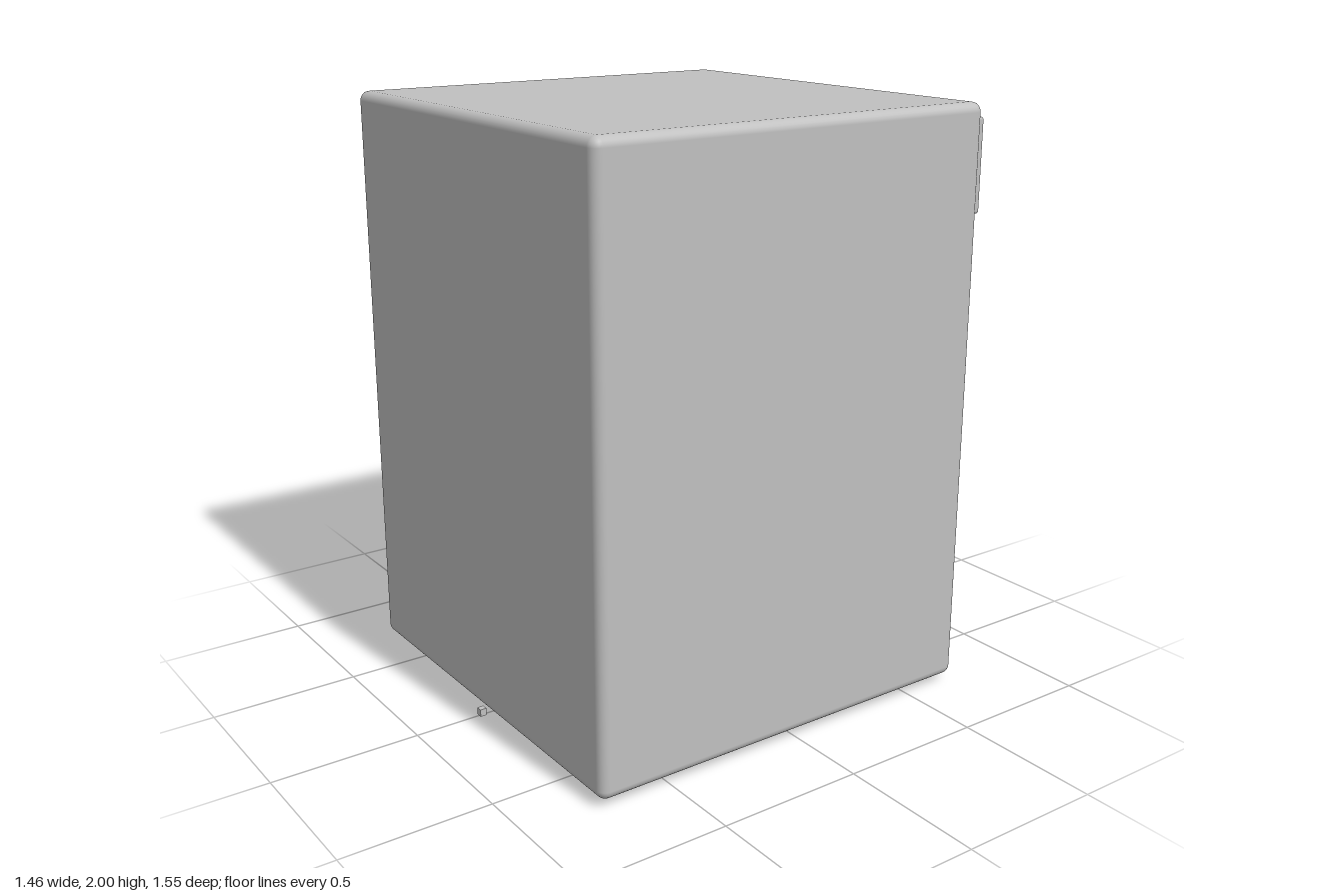
import * as THREE from 'three';
import { RoundedBoxGeometry } from 'three/addons/geometries/RoundedBoxGeometry.js';
import { toCreasedNormals } from 'three/addons/utils/BufferGeometryUtils.js';

export function createModel() {
  const group = new THREE.Group();
  const grey = new THREE.MeshStandardMaterial({ color: 0xc0c0c0 });
  grey.name = 'grey';

  const add = (name, geometry, x, y, z) => {
    const mesh = new THREE.Mesh(geometry, grey);
    mesh.name = name;
    mesh.position.set(x, y, z);
    group.add(mesh);
  };

  // Round part turned about the z axis; profile is [radius, height toward -z]
  const turned = (profile, segments = 64) => {
    const points = profile.map(([r, h]) => new THREE.Vector2(r, h));
    const geometry = new THREE.LatheGeometry(points, segments).rotateX(-Math.PI / 2);
    return toCreasedNormals(geometry, 0.35);
  };

  // Cabinet
  add('cabinet', new RoundedBoxGeometry(1.46, 1.975, 1.457, 3, 0.032), 0, 1.0125, 0.028);

  // Control panel with display and dial
  add('controlPanel', new RoundedBoxGeometry(1.41, 0.31, 0.032, 2, 0.01), 0, 1.795, -0.713);
  add('display', new RoundedBoxGeometry(0.36, 0.15, 0.016, 2, 0.004), -0.44, 1.785, -0.729);
  add('dial', turned([[0.093, 0], [0.093, 0.045], [0.088, 0.05], [0, 0.05]], 40), 0.468, 1.795, -0.725);

  // Door: bevelled ring around a recessed window
  add('doorRing', turned([
    [0.51, 0], [0.522, 0.012], [0.53, 0.02], [0.53, 0.042], [0.518, 0.06],
    [0.492, 0.075], [0.468, 0.075], [0.445, 0.062], [0.43, 0.045], [0.42, 0.02], [0.42, 0],
  ], 72), 0, 0.912, -0.7);
  add('doorWindow', turned([[0.425, 0], [0.425, 0.025], [0, 0.025]], 72), 0, 0.912, -0.7);

  // Small block low on the far side
  add('drainStub', new THREE.BoxGeometry(0.022, 0.025, 0.022), 0, 0.0125, 0.761);

  return group;
}
